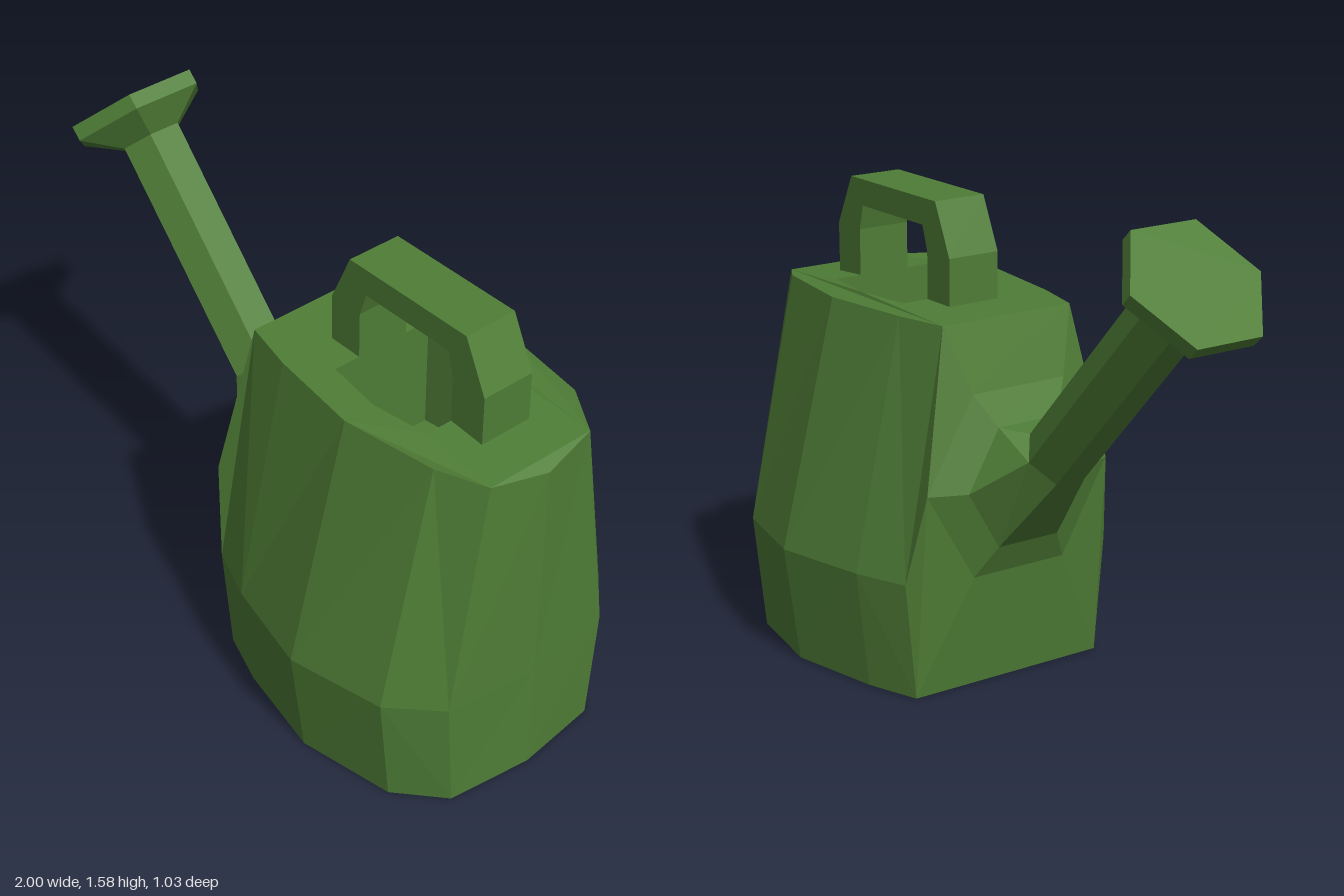
import * as THREE from 'three';

const green = new THREE.MeshStandardMaterial({ color: 0x4f7d36, flatShading: true });
const V = (x, y, z) => new THREE.Vector3(x, y, z);

// Joins closed rings of points; optionally fans a cap over the first or last ring.
function loft(rings, capStart = false, capEnd = false) {
  const pos = [];
  const tri = (...pts) => pts.forEach((p) => pos.push(p.x, p.y, p.z));
  const n = rings[0].length;
  for (let k = 0; k < rings.length - 1; k++) {
    const a = rings[k], b = rings[k + 1];
    for (let i = 0; i < n; i++) {
      const j = (i + 1) % n;
      if (i % 3 === 0) { // mirrored diagonal keeps both sides symmetric
        tri(a[i], a[j], b[i]);
        tri(a[j], b[j], b[i]);
      } else {
        tri(a[i], a[j], b[j]);
        tri(a[i], b[j], b[i]);
      }
    }
  }
  const last = rings[rings.length - 1];
  for (let i = 1; i < n - 1; i++) {
    if (capStart) tri(rings[0][0], rings[0][i + 1], rings[0][i]);
    if (capEnd) tri(last[0], last[i], last[i + 1]);
  }
  const geo = new THREE.BufferGeometry();
  geo.setAttribute('position', new THREE.Float32BufferAttribute(pos, 3));
  geo.computeVertexNormals();
  return geo;
}

// Half outline of the body, mirrored in z; height is a function of x.
const bodyX = [0.02, 0.195, 0.51, 0.825, 0.965, 1.0];
function bodyRing(zs, height) {
  const front = bodyX.map((x, i) => V(x, height(x), zs[i]));
  const back = front.slice(0, -1).reverse().map((p) => V(p.x, p.y, -p.z));
  return [...front, ...back];
}
const rimHeight = (x) => (x > 0.98 ? 1.125 : x > 0.9 ? 1.15 : 1.17);

// Hexagon tilted by its own "up" direction in the xy plane.
function hexRing(cx, cy, r, ux = 0, uy = 1) {
  return Array.from({ length: 6 }, (_, i) => {
    const t = (i * Math.PI) / 3, s = r * Math.sin(t);
    return V(cx + ux * s, cy + uy * s, r * Math.cos(t));
  });
}

export function createModel() {
  const group = new THREE.Group();
  const add = (name, geo) => {
    const mesh = new THREE.Mesh(geo, green);
    mesh.name = name;
    group.add(mesh);
  };

  // Body shell
  const bottom = bodyRing([0.345, 0.405, 0.465, 0.405, 0.28, 0], () => 0);
  const middle = bodyRing([0.38, 0.445, 0.515, 0.445, 0.307, 0], () => 0.38);
  const top = bodyRing([0.235, 0.275, 0.315, 0.27, 0.19, 0], rimHeight);
  const n = top.length - 1;
  const shell = loft([bottom, middle, top], true);
  // drop the flat panel between the two spout-side corners: the spout base closes it
  const keep = [];
  const p = shell.attributes.position;
  for (let i = 0; i < p.count; i += 3) {
    const flat = [0, 1, 2].every((k) => Math.abs(p.getX(i + k) - 0.02) < 1e-4);
    if (!flat) for (let k = 0; k < 3; k++) keep.push(p.getX(i + k), p.getY(i + k), p.getZ(i + k));
  }
  shell.setAttribute('position', new THREE.Float32BufferAttribute(keep, 3));
  shell.deleteAttribute('normal');
  shell.computeVertexNormals();
  add('body', shell);

  // Top plate with the filling hole
  const hole = [[0.315, 0.18], [0.51, 0.207], [0.7, 0.18], [0.7, -0.18], [0.51, -0.207], [0.315, -0.18]];
  const plate = new THREE.Shape(top.map((q) => new THREE.Vector2(q.x, -q.z)));
  plate.holes.push(new THREE.Path(hole.map(([x, z]) => new THREE.Vector2(x, -z))));
  const plateGeo = new THREE.ShapeGeometry(plate).rotateX(-Math.PI / 2);
  const pp = plateGeo.attributes.position;
  for (let i = 0; i < pp.count; i++) pp.setY(i, rimHeight(pp.getX(i)));
  plateGeo.computeVertexNormals();
  add('topPlate', plateGeo);

  // Recess below the filling hole
  const holeRing = (y) => hole.map(([x, z]) => V(x, y, z));
  add('fillingHole', loft([holeRing(1.17), holeRing(0.8)], false, true));

  // Spout: body corners, flared base, then a tilted hexagonal tube
  const ux = 0.73, uy = 0.68;
  const corners = [middle[0], top[0], top[n], middle[n], bottom[n], bottom[0]];
  const tubeEnd = hexRing(-0.765, 1.36, 0.105, ux, uy);
  add('spout', loft([
    corners,
    hexRing(-0.04, 0.67, 0.337),
    hexRing(-0.09, 0.67, 0.22),
    hexRing(-0.235, 0.788, 0.105, ux, uy),
    tubeEnd,
  ]));

  // Sprinkler head
  add('sprinklerHead', loft([
    tubeEnd,
    hexRing(-0.823, 1.412, 0.23, ux, uy),
    hexRing(-0.857, 1.445, 0.23, ux, uy),
  ], false, true));

  // Handle arch
  const arch = [
    [0.195, 1.16], [0.195, 1.32], [0.27, 1.485], [0.745, 1.485], [0.825, 1.32], [0.825, 1.16],
    [0.7, 1.16], [0.7, 1.32], [0.68, 1.4], [0.34, 1.4], [0.315, 1.32], [0.315, 1.16],
  ];
  const archShape = new THREE.Shape(arch.map(([x, y]) => new THREE.Vector2(x, y)));
  add('handle', new THREE.ExtrudeGeometry(archShape, { depth: 0.18, bevelEnabled: false }).translate(0, 0, -0.09));

  return group;
}
